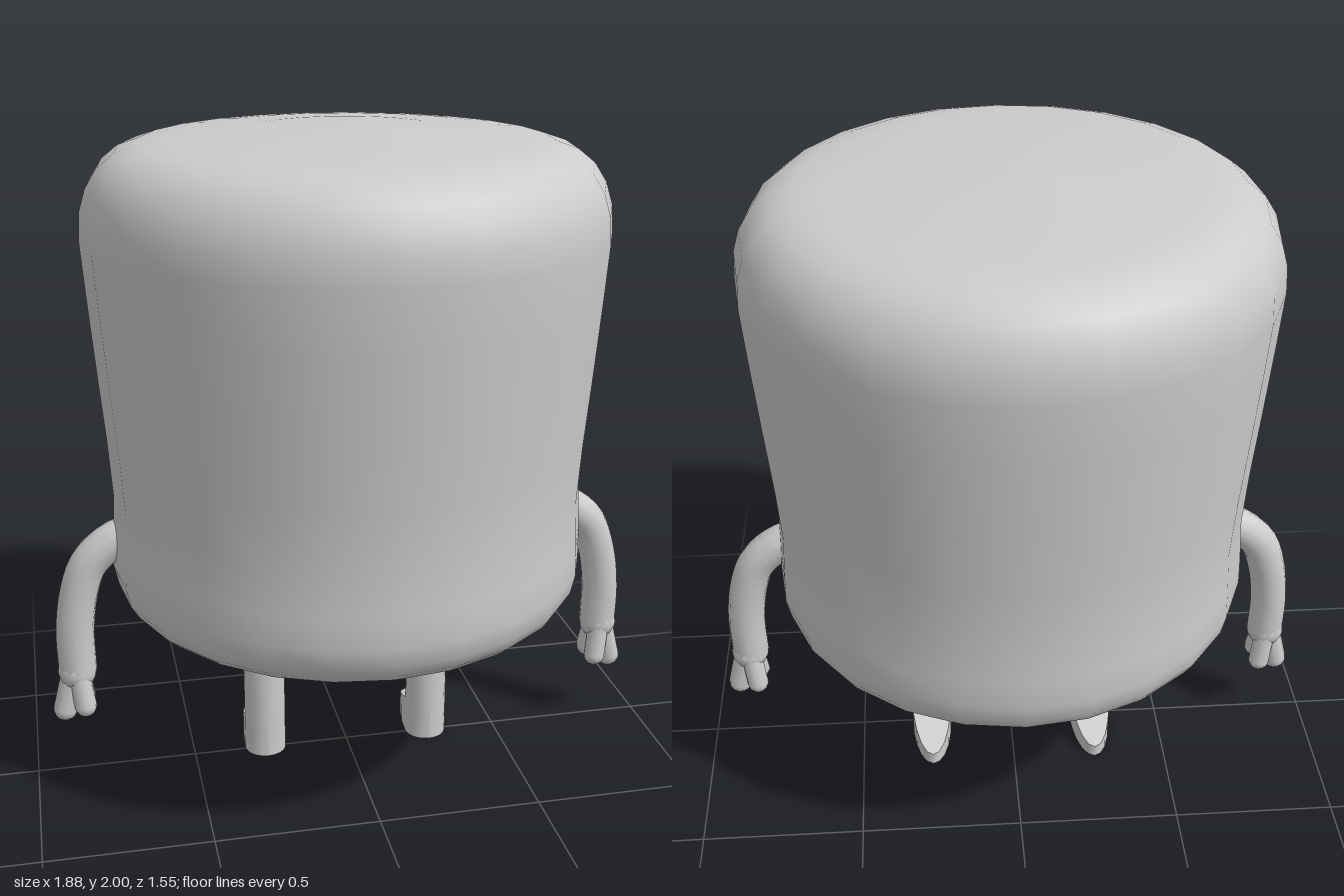
import * as THREE from 'three';

const skin = new THREE.MeshStandardMaterial({ color: 0xcccccc });
skin.name = 'pale grey';

function addPart(parent, name, geometry) {
  const mesh = new THREE.Mesh(geometry, skin);
  mesh.name = name;
  parent.add(mesh);
  return mesh;
}

// Barrel body with soft rims and a slight waist
function bodyGeometry() {
  const profile = [
    [0, 0.52], [0.3, 0.522], [0.56, 0.532], [0.61, 0.54], [0.655, 0.56], [0.69, 0.59],
    [0.715, 0.63], [0.728, 0.69], [0.725, 0.78], [0.717, 0.92], [0.728, 1.1], [0.745, 1.3],
    [0.763, 1.53], [0.775, 1.7], [0.77, 1.78], [0.75, 1.845], [0.715, 1.9], [0.665, 1.94],
    [0.6, 1.962], [0.52, 1.97], [0.3, 1.988], [0, 2],
  ].map(([r, y]) => new THREE.Vector2(r, y));
  return new THREE.LatheGeometry(profile, 24);
}

// Wedge foot: a round heel stretched towards -z, its top sloping to the toe
function footGeometry(radius) {
  const geometry = new THREE.CylinderGeometry(radius, radius, 0.125, 20);
  const p = geometry.attributes.position;
  for (let i = 0; i < p.count; i++) {
    const z = p.getZ(i) < 0 ? p.getZ(i) * 3.2 : p.getZ(i);
    const top = 0.125 - 0.4 * Math.max(0, -z);
    p.setXYZ(i, p.getX(i), p.getY(i) > 0 ? top : 0, z);
  }
  geometry.computeVertexNormals();
  return geometry;
}

// Rounded finger between two points
function addFinger(parent, name, from, to, radius) {
  const a = new THREE.Vector3(...from), b = new THREE.Vector3(...to);
  const dir = b.clone().sub(a);
  const finger = addPart(parent, name, new THREE.CapsuleGeometry(radius, dir.length(), 5, 12));
  finger.position.copy(a).add(b).multiplyScalar(0.5);
  finger.quaternion.setFromUnitVectors(new THREE.Vector3(0, 1, 0), dir.normalize());
}

function makeArm(side) {
  const arm = new THREE.Group();
  arm.name = side > 0 ? 'leftArm' : 'rightArm';
  const path = new THREE.CatmullRomCurve3([
    [0.66, 0.8], [0.73, 0.772], [0.8, 0.71], [0.838, 0.61], [0.857, 0.48], [0.856, 0.35],
  ].map(([x, y]) => new THREE.Vector3(side * x, y, 0)));
  addPart(arm, 'armTube', new THREE.TubeGeometry(path, 18, 0.059, 12));
  // Rounded palm closing the tube
  const palm = addPart(arm, 'palm', new THREE.SphereGeometry(0.06, 14, 10));
  palm.position.set(side * 0.858, 0.345, 0);
  addFinger(arm, 'outerFinger', [side * 0.868, 0.35, 0], [side * 0.902, 0.215, 0], 0.038);
  for (const s of [-1, 1]) {
    addFinger(arm, 'innerFinger', [side * 0.855, 0.35, s * 0.022], [side * 0.84, 0.236, s * 0.036], 0.034);
  }
  return arm;
}

function makeLeg(side) {
  const leg = new THREE.Group();
  leg.name = side > 0 ? 'leftLeg' : 'rightLeg';
  const radius = 0.066;
  const shin = addPart(leg, 'shin', new THREE.CylinderGeometry(radius, radius, 0.445, 20, 1, true));
  shin.position.y = 0.3225;
  addPart(leg, 'foot', footGeometry(radius));
  leg.position.set(side * 0.269, 0, -0.004);
  return leg;
}

export function createModel() {
  const model = new THREE.Group();
  model.name = 'barrelCreature';
  addPart(model, 'body', bodyGeometry());
  for (const side of [1, -1]) model.add(makeArm(side), makeLeg(side));
  return model;
}
